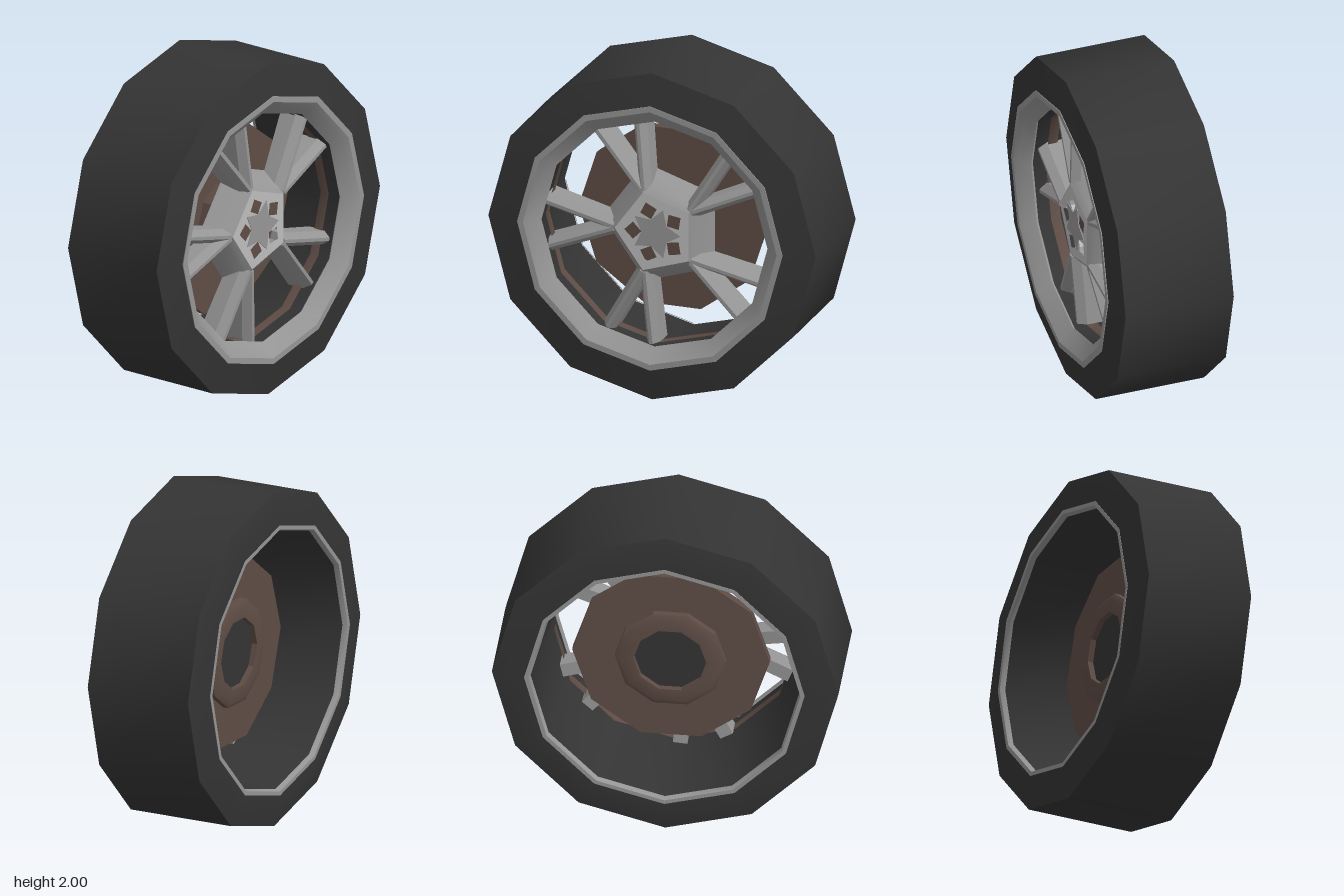
import * as THREE from 'three';
import { toCreasedNormals } from 'three/addons/utils/BufferGeometryUtils.js';
import { ConvexGeometry } from 'three/addons/geometries/ConvexGeometry.js';

const material = (name, color) => {
  const m = new THREE.MeshStandardMaterial({ color });
  m.name = name;
  return m;
};

export function createModel() {
  const rubber = material('dark rubber', 0x343434);
  const rimGrey = material('rim grey', 0x959595);
  const hubGrey = material('light hub grey', 0xbcbcbc);
  const brown = material('brown brake metal', 0x5e4c45);

  const wheel = new THREE.Group();
  wheel.name = 'wheel';
  wheel.position.y = 1;

  const add = (name, geometry, mat) => {
    const mesh = new THREE.Mesh(geometry, mat);
    mesh.name = name;
    wheel.add(mesh);
    return mesh;
  };

  // Turned part around the x axle; profile points are [radius, x]
  const turned = (name, profile, sides, mat) => {
    const g = new THREE.LatheGeometry(profile.map(([r, x]) => new THREE.Vector2(r, x)), sides);
    g.rotateZ(-Math.PI / 2);
    return add(name, toCreasedNormals(g, 0.6), mat);
  };

  // Point in the wheel plane: angle in degrees from +z towards +y
  const polar = (r, deg) => {
    const a = THREE.MathUtils.degToRad(deg);
    return new THREE.Vector2(-r * Math.cos(a), r * Math.sin(a));
  };

  // Flat plate facing +x, between x and x + depth
  const plate = (name, shape, x, depth, mat) => {
    const g = new THREE.ExtrudeGeometry(shape, { depth, bevelEnabled: false });
    g.translate(0, 0, x);
    g.rotateY(Math.PI / 2);
    return add(name, g, mat);
  };

  // Tyre with its dark inner barrel
  turned('tyre', [
    [0.79, -0.365], [0.81, -0.368], [1, -0.33], [1, 0.33], [0.81, 0.365],
    [0.76, 0.33], [0.705, 0.28], [0.79, -0.365],
  ], 12, rubber);

  // Rim lips on both sides
  turned('frontRim', [
    [0.81, 0.34], [0.81, 0.37], [0.775, 0.37], [0.745, 0.345], [0.69, 0.29], [0.71, 0.27],
  ], 12, rimGrey);
  turned('backRim', [[0.775, -0.34], [0.785, -0.37], [0.81, -0.37], [0.81, -0.34]], 12, rimGrey);
  turned('barrelBand', [[0.697, 0.2], [0.697, 0.14]], 12, brown);

  // Brake disc and its carrier
  turned('brakeDisc', [[0, -0.05], [0.57, -0.05], [0.57, 0], [0, 0]], 10, brown);
  turned('discCarrier', [
    [0.21, -0.06], [0.21, -0.1], [0.29, -0.1], [0.32, -0.085], [0.32, -0.045],
  ], 10, brown);
  turned('axleBore', [[0, -0.065], [0.21, -0.065], [0.21, -0.05]], 24, rubber);
  turned('axleHub', [[0.23, 0], [0.23, 0.19], [0, 0.19]], 10, brown);

  // Five-sided hub with sloped flanks
  turned('hubFlanks', [[0.22, 0.12], [0.38, 0.12], [0.295, 0.245], [0.25, 0.275]], 5, rimGrey);

  const face = new THREE.Shape();
  const star = [];
  const corners = [];
  for (let i = 0; i < 5; i++) {
    const a = i * 72;
    corners.push(polar(0.25, a));
    star.push(polar(0.085, a), polar(0.155, a + 36));
    // Diamond bolt hole
    face.holes.push(new THREE.Path([
      polar(0.19, a), polar(0.147, a + 21), polar(0.086, a), polar(0.147, a - 21),
    ]));
  }
  face.setFromPoints(corners);
  plate('hubFace', face, 0.215, 0.06, hubGrey);
  plate('centreCap', new THREE.Shape(star), 0.273, 0.006, rimGrey);

  // Ridged spoke from a hub corner out to the barrel
  const spoke = (startDeg, endDeg) => {
    const start = polar(0.26, startDeg);
    const end = polar(0.695, endDeg);
    const side = end.clone().sub(start).normalize();
    side.set(-side.y, side.x);
    const points = [];
    for (const [p, top, bottom] of [[start, 0.275, 0.13], [end, 0.25, 0.09]]) {
      for (const [w, x] of [[0.01, top], [0.04, top - 0.05], [0.042, bottom]]) {
        for (const s of [-1, 1]) {
          points.push(new THREE.Vector3(x, p.y + side.y * w * s, -(p.x + side.x * w * s)));
        }
      }
    }
    return new ConvexGeometry(points);
  };

  // Five pairs of spokes
  for (let i = 0; i < 5; i++) {
    const a = i * 72;
    add('spokeUpper' + (i + 1), spoke(a + 1, a + 8), rimGrey);
    add('spokeLower' + (i + 1), spoke(a - 2, a - 15), rimGrey);
  }

  const model = new THREE.Group();
  model.name = 'wheelModel';
  model.add(wheel);
  return model;
}
